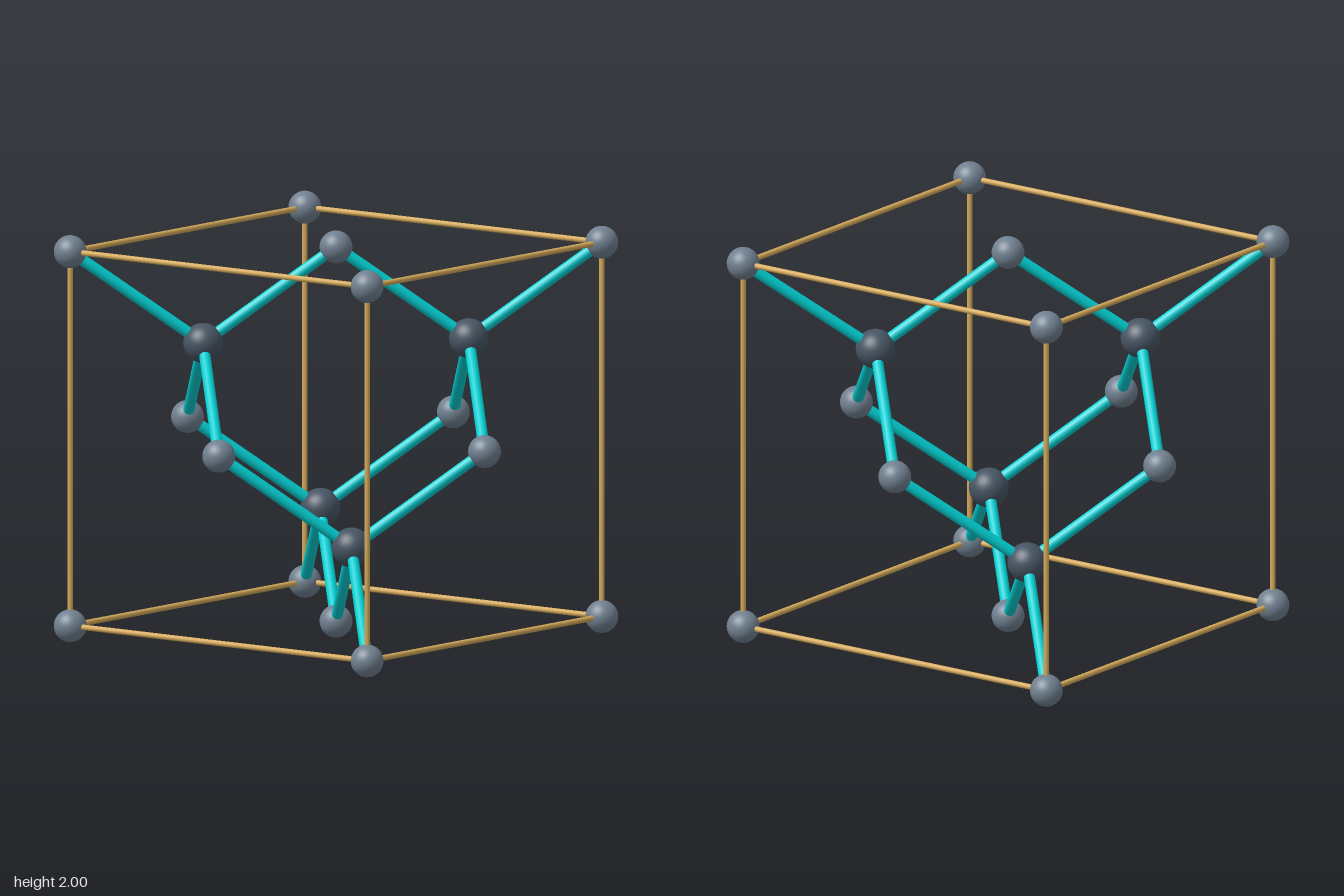
import * as THREE from 'three';

const HALF = 0.92;      // half edge of the cubic cell
const CENTRE_Y = 1;

export function createModel() {
  const model = new THREE.Group();
  model.name = 'crystalLattice';
  const material = (color) => new THREE.MeshStandardMaterial({ color });
  const latticeMat = material(0x708090);
  const innerMat = material(0x465463);
  const bondMat = material(0x00ced1);
  const frameMat = material(0xd4a95a);

  const group = (name) => {
    const g = new THREE.Group();
    g.name = name;
    g.position.y = CENTRE_Y;
    model.add(g);
    return g;
  };
  const latticeAtoms = group('latticeAtoms');
  const innerAtoms = group('innerAtoms');
  const bonds = group('bonds');
  const frame = group('cellFrame');

  const latticeGeo = new THREE.SphereGeometry(0.08, 32, 24);
  const innerGeo = new THREE.SphereGeometry(0.097, 32, 24);

  // Positions are given in units of half the cell edge
  const at = (x, y, z) => new THREE.Vector3(x, y, z).multiplyScalar(HALF);

  const addAtom = (parent, name, geometry, mat, position) => {
    const atom = new THREE.Mesh(geometry, mat);
    atom.name = name;
    atom.position.copy(position);
    parent.add(atom);
  };

  // Round rod joining two points
  const addRod = (parent, name, a, b, radius, mat) => {
    const dir = b.clone().sub(a);
    const rod = new THREE.Mesh(new THREE.CylinderGeometry(radius, radius, dir.length(), 16), mat);
    rod.name = name;
    rod.position.copy(a).add(b).multiplyScalar(0.5);
    rod.quaternion.setFromUnitVectors(new THREE.Vector3(0, 1, 0), dir.normalize());
    parent.add(rod);
  };

  // Corner atoms, and on alternate corners an inner atom with its four bonds
  for (const x of [-1, 1]) for (const y of [-1, 1]) for (const z of [-1, 1]) {
    addAtom(latticeAtoms, 'cornerAtom', latticeGeo, latticeMat, at(x, y, z));
    if (x * y * z > 0) continue;
    const inner = at(x / 2, y / 2, z / 2);
    addAtom(innerAtoms, 'innerAtom', innerGeo, innerMat, inner);
    for (const end of [at(x, y, z), at(x, 0, 0), at(0, y, 0), at(0, 0, z)]) {
      addRod(bonds, 'bond', inner, end, 0.028, bondMat);
    }
  }

  // Atoms at the face centres
  for (const s of [-1, 1]) {
    for (const p of [at(s, 0, 0), at(0, s, 0), at(0, 0, s)]) {
      addAtom(latticeAtoms, 'faceAtom', latticeGeo, latticeMat, p);
    }
  }

  // Twelve edges of the cell
  for (const s of [-1, 1]) for (const t of [-1, 1]) {
    addRod(frame, 'frameEdge', at(-1, s, t), at(1, s, t), 0.014, frameMat);
    addRod(frame, 'frameEdge', at(s, -1, t), at(s, 1, t), 0.014, frameMat);
    addRod(frame, 'frameEdge', at(s, t, -1), at(s, t, 1), 0.014, frameMat);
  }
  return model;
}
